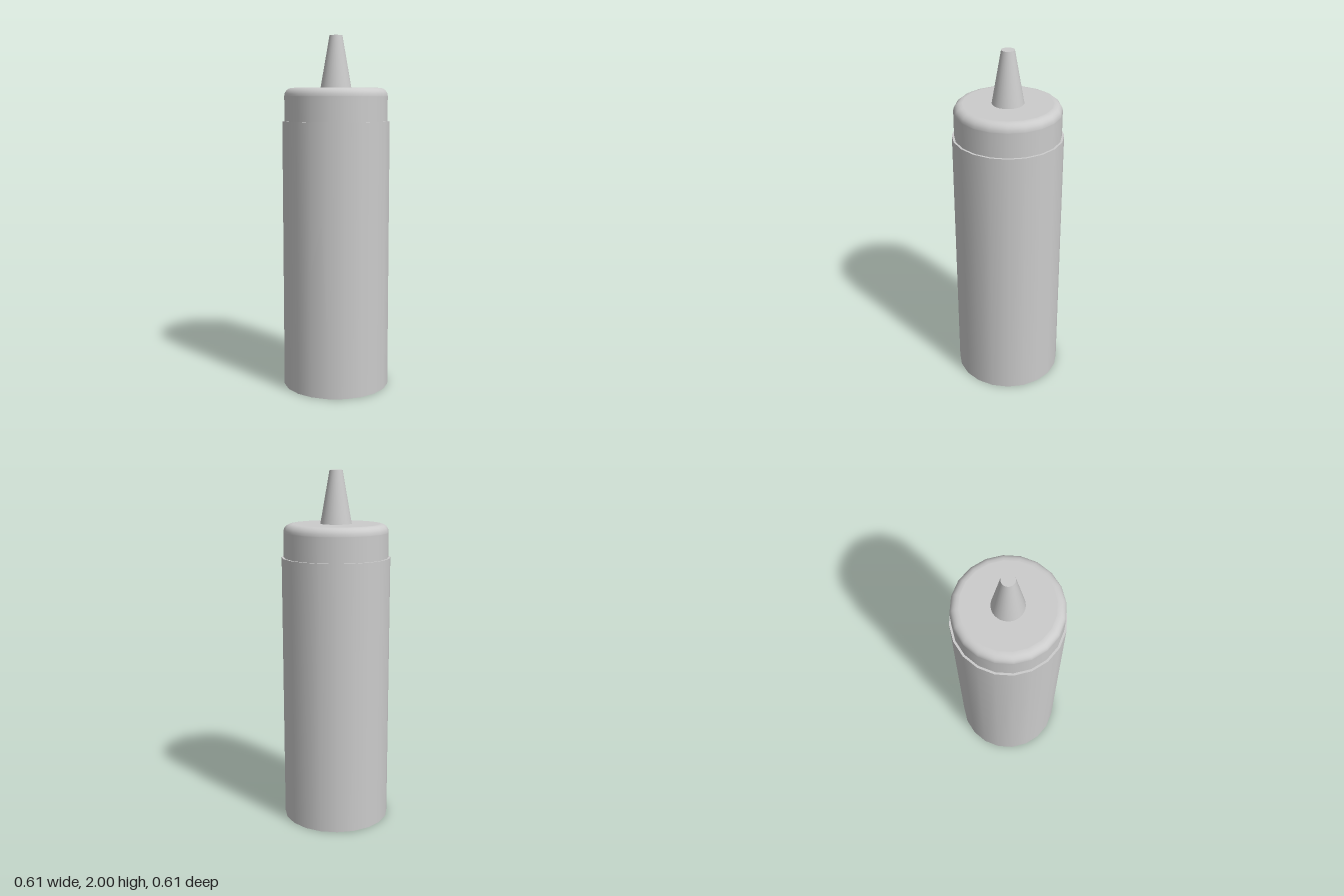
import * as THREE from 'three';

const SIDES = 20;
const BODY_TOP = 1.525, CAP_TOP = 1.71;

export function createModel() {
  const group = new THREE.Group();
  const material = new THREE.MeshStandardMaterial({ color: 0xcccccc });

  function add(name, geometry, y = 0) {
    const mesh = new THREE.Mesh(geometry, material);
    mesh.name = name;
    mesh.position.y = y;
    group.add(mesh);
  }

  // Straight bottle body with flat ends
  add('bottleBody', new THREE.CylinderGeometry(0.304, 0.304, BODY_TOP, SIDES), BODY_TOP / 2);

  // Screw cap: straight wall, rounded shoulder, flat top
  const radius = 0.292, fillet = 0.045, steps = 6;
  const profile = [
    new THREE.Vector2(radius, BODY_TOP),
    new THREE.Vector2(radius, CAP_TOP - fillet - 0.003),
  ];
  for (let i = 0; i <= steps; i++) {
    const a = (i / steps) * Math.PI / 2;
    profile.push(new THREE.Vector2(
      radius - fillet + fillet * Math.cos(a),
      CAP_TOP - fillet + fillet * Math.sin(a)));
  }
  profile.push(new THREE.Vector2(radius - fillet - 0.003, CAP_TOP), new THREE.Vector2(0, CAP_TOP));
  add('cap', new THREE.LatheGeometry(profile, SIDES));

  // Tapered nozzle
  const nozzleHeight = 2 - CAP_TOP;
  add('nozzle', new THREE.CylinderGeometry(0.036, 0.087, nozzleHeight, 32), CAP_TOP + nozzleHeight / 2);

  return group;
}
